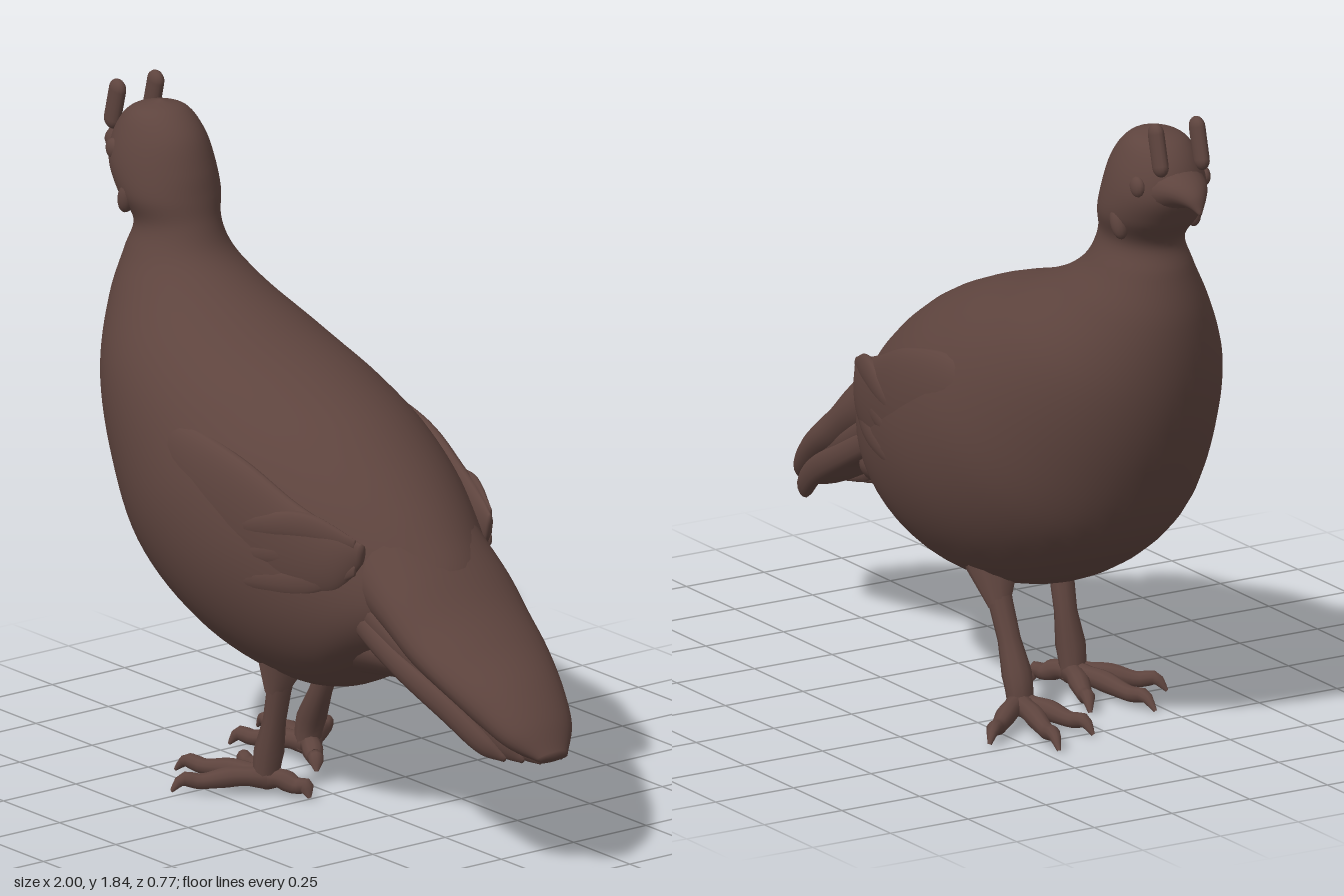
import * as THREE from 'three';

const plumage = new THREE.MeshStandardMaterial({ color: 0x5e443e });
plumage.name = 'brown plumage';

// Smooth skin over elliptical sections [topX, topY, bottomX, bottomY, halfWidth, z]
function loft(sections, side = 1, rings = 48, sides = 32) {
  const tops = new THREE.CatmullRomCurve3(sections.map(s => new THREE.Vector3(s[0], s[1], s[4])));
  const bottoms = new THREE.CatmullRomCurve3(sections.map(s => new THREE.Vector3(s[2], s[3], s[5] || 0)));
  const pos = [], index = [];
  for (let i = 0; i <= rings; i++) {
    const t = tops.getPoint(i / rings), b = bottoms.getPoint(i / rings);
    const w = Math.max(t.z, 0.001);
    for (let j = 0; j < sides; j++) {
      const a = j / sides * Math.PI * 2, k = (1 + Math.cos(a)) / 2;
      pos.push(b.x + (t.x - b.x) * k, b.y + (t.y - b.y) * k, b.z * side + w * Math.sin(a));
      if (i === rings) continue;
      const p = i * sides + j, q = i * sides + (j + 1) % sides;
      index.push(p, q, p + sides, q, q + sides, p + sides);
    }
  }
  const first = pos.length / 3, last = rings * sides;
  for (const s of [sections[0], sections[sections.length - 1]])
    pos.push((s[0] + s[2]) / 2, (s[1] + s[3]) / 2, (s[5] || 0) * side);
  for (let j = 0; j < sides; j++) {
    const n = (j + 1) % sides;
    index.push(first, n, j, first + 1, last + j, last + n);
  }
  const g = new THREE.BufferGeometry();
  g.setAttribute('position', new THREE.Float32BufferAttribute(pos, 3));
  g.setIndex(index);
  g.computeVertexNormals();
  return g;
}

// Tapered tube through points; radii are spread evenly along it
function limb(points, radii, steps = 16, sides = 10) {
  const curve = new THREE.CatmullRomCurve3(points.map(p => new THREE.Vector3(...p)));
  const g = new THREE.TubeGeometry(curve, steps, 1, sides);
  const pos = g.attributes.position, v = new THREE.Vector3();
  for (let i = 0; i <= steps; i++) {
    const c = curve.getPointAt(i / steps);
    const f = i / steps * (radii.length - 1), k = Math.min(Math.floor(f), radii.length - 2);
    const r = THREE.MathUtils.lerp(radii[k], radii[k + 1], f - k);
    for (let j = 0; j <= sides; j++) {
      const n = i * (sides + 1) + j;
      v.fromBufferAttribute(pos, n).sub(c).multiplyScalar(r).add(c);
      pos.setXYZ(n, v.x, v.y, v.z);
    }
  }
  return g;
}

export function createModel() {
  const model = new THREE.Group();
  model.name = 'bird';
  const add = (name, geometry, parent = model) => {
    const m = new THREE.Mesh(geometry, plumage);
    m.name = name;
    parent.add(m);
    return m;
  };

  // Head, neck and plump body in one skin, from crown to rump
  add('body', loft([
    [-0.76, 1.80, -0.77, 1.80, 0.003],
    [-0.69, 1.78, -0.86, 1.77, 0.075],
    [-0.63, 1.72, -0.91, 1.71, 0.112],
    [-0.595, 1.63, -0.925, 1.63, 0.135],
    [-0.58, 1.56, -0.88, 1.55, 0.137],
    [-0.565, 1.49, -0.82, 1.47, 0.115],
    [-0.53, 1.415, -0.845, 1.39, 0.14],
    [-0.44, 1.345, -0.875, 1.25, 0.2],
    [-0.25, 1.262, -0.86, 1.04, 0.29],
    [-0.02, 1.19, -0.78, 0.80, 0.35],
    [0.17, 1.11, -0.64, 0.575, 0.382],
    [0.31, 1.02, -0.40, 0.415, 0.372],
    [0.42, 0.93, -0.12, 0.335, 0.325],
    [0.50, 0.85, 0.12, 0.345, 0.265],
    [0.56, 0.78, 0.28, 0.43, 0.2],
    [0.60, 0.70, 0.45, 0.52, 0.1],
  ], 1, 96, 48));

  // Tail and the tuft below it
  add('tail', loft([
    [0.40, 0.93, 0.28, 0.62, 0.22],
    [0.55, 0.79, 0.46, 0.57, 0.22],
    [0.65, 0.695, 0.57, 0.51, 0.21],
    [0.75, 0.62, 0.68, 0.46, 0.19],
    [0.87, 0.535, 0.80, 0.39, 0.15],
    [0.95, 0.45, 0.89, 0.35, 0.11],
    [1.00, 0.36, 0.97, 0.335, 0.045],
  ]));
  add('undertailTuft', loft([
    [0.00, 0.60, -0.10, 0.40, 0.15],
    [0.25, 0.66, 0.20, 0.41, 0.2],
    [0.45, 0.62, 0.42, 0.44, 0.16],
    [0.60, 0.56, 0.60, 0.44, 0.1],
    [0.66, 0.50, 0.65, 0.47, 0.02],
  ]));

  // Short hooked beak
  add('beak', loft([
    [-1.00, 1.608, -0.995, 1.60, 0.004],
    [-0.985, 1.655, -0.972, 1.612, 0.028],
    [-0.945, 1.69, -0.93, 1.61, 0.06],
    [-0.87, 1.72, -0.85, 1.56, 0.1],
  ], 1, 20, 20));

  for (const side of [1, -1]) {
    const label = side > 0 ? 'left' : 'right';

    // Upright crest horn, eye and cheek lobe
    const horn = add(label + 'Horn', new THREE.CapsuleGeometry(0.03, 0.09, 6, 14));
    horn.scale.z = 0.65;
    horn.position.set(-0.885, 1.77, side * 0.066);
    horn.rotation.z = -0.25;
    const eye = add(label + 'Eye', new THREE.SphereGeometry(0.03, 14, 10));
    eye.scale.z = 0.6;
    eye.position.set(-0.84, 1.66, side * 0.105);
    const cheek = add(label + 'CheekLobe', new THREE.SphereGeometry(0.05, 16, 12));
    cheek.scale.set(0.55, 1, 0.5);
    cheek.position.set(-0.765, 1.545, side * 0.117);
    cheek.rotation.z = -0.3;

    // Folded wing with overlapping flight feathers
    const wing = new THREE.Group();
    wing.name = label + 'Wing';
    model.add(wing);
    add('wingShell', loft([
      [-0.50, 1.00, -0.50, 0.95, 0.01, 0.29],
      [-0.30, 1.06, -0.26, 0.79, 0.05, 0.31],
      [0.00, 1.02, 0.00, 0.67, 0.05, 0.312],
      [0.20, 0.94, 0.20, 0.67, 0.04, 0.285],
      [0.34, 0.89, 0.34, 0.71, 0.03, 0.25],
      [0.42, 0.86, 0.41, 0.80, 0.01, 0.22],
    ], side), wing);
    for (let i = 0; i < 3; i++) {
      const y = 0.075 * i;
      add('flightFeather', loft([
        [-0.12, 0.675 + y, -0.12, 0.66 + y, 0.004, 0.345],
        [0.06, 0.74 + y, 0.06, 0.665 + y, 0.02, 0.335],
        [0.26, 0.775 + y, 0.27, 0.69 + y, 0.018, 0.285],
        [0.40, 0.80 + y * 0.5, 0.40, 0.77 + y * 0.5, 0.005, 0.235],
      ], side, 20, 14), wing);
    }

    // Long drooping feathers along the tail edge
    for (let i = 0; i < 3; i++) {
      const d = i * 0.04;
      add('tailFeather', loft([
        [0.30, 0.72 + d, 0.28, 0.65 + d, 0.015, 0.21],
        [0.52, 0.60 + d, 0.50, 0.53 + d, 0.022, 0.2 - d * 0.3],
        [0.74, 0.49 + d, 0.71, 0.42 + d, 0.022, 0.165 - d * 0.5],
        [0.86 + d, 0.40 + d * 0.3, 0.83 + d, 0.345, 0.02, 0.125 - d * 0.8],
        [0.90 + d, 0.35, 0.89 + d, 0.335, 0.005, 0.1 - d * 0.8],
      ], side, 24, 12));
    }

    // Leg and four clawed toes; the right foot is a step ahead
    const leg = new THREE.Group();
    leg.name = label + 'Leg';
    model.add(leg);
    const hip = side > 0 ? -0.04 : -0.15, ankle = side > 0 ? -0.11 : -0.285;
    const z = side * 0.14;
    add('thigh', limb([[hip + 0.03, 0.5, z], [hip - 0.01, 0.38, z], [hip - 0.035, 0.3, z]],
      [0.1, 0.07, 0.03]), leg);
    add('shank', limb([[hip, 0.4, z], [(hip + ankle) / 2 - 0.01, 0.22, z * 0.97], [ankle, 0.1, z], [ankle - 0.01, 0.035, z]],
      [0.042, 0.034, 0.032, 0.042, 0.035]), leg);
    const toes = [[-0.17, 0.2], [-0.32, 0.07], [-0.24, -0.09], [0.11, -0.06]];
    for (const [dx, dz] of toes) {
      const at = (f, y) => [ankle + dx * f, y, z + side * dz * f];
      add('toe', limb([at(0, 0.05), at(0.35, 0.05), at(0.7, 0.035), at(0.88, 0.04), at(1, 0.006)],
        [0.036, 0.027, 0.03, 0.023, 0.022, 0.005]), leg);
    }
  }
  return model;
}
